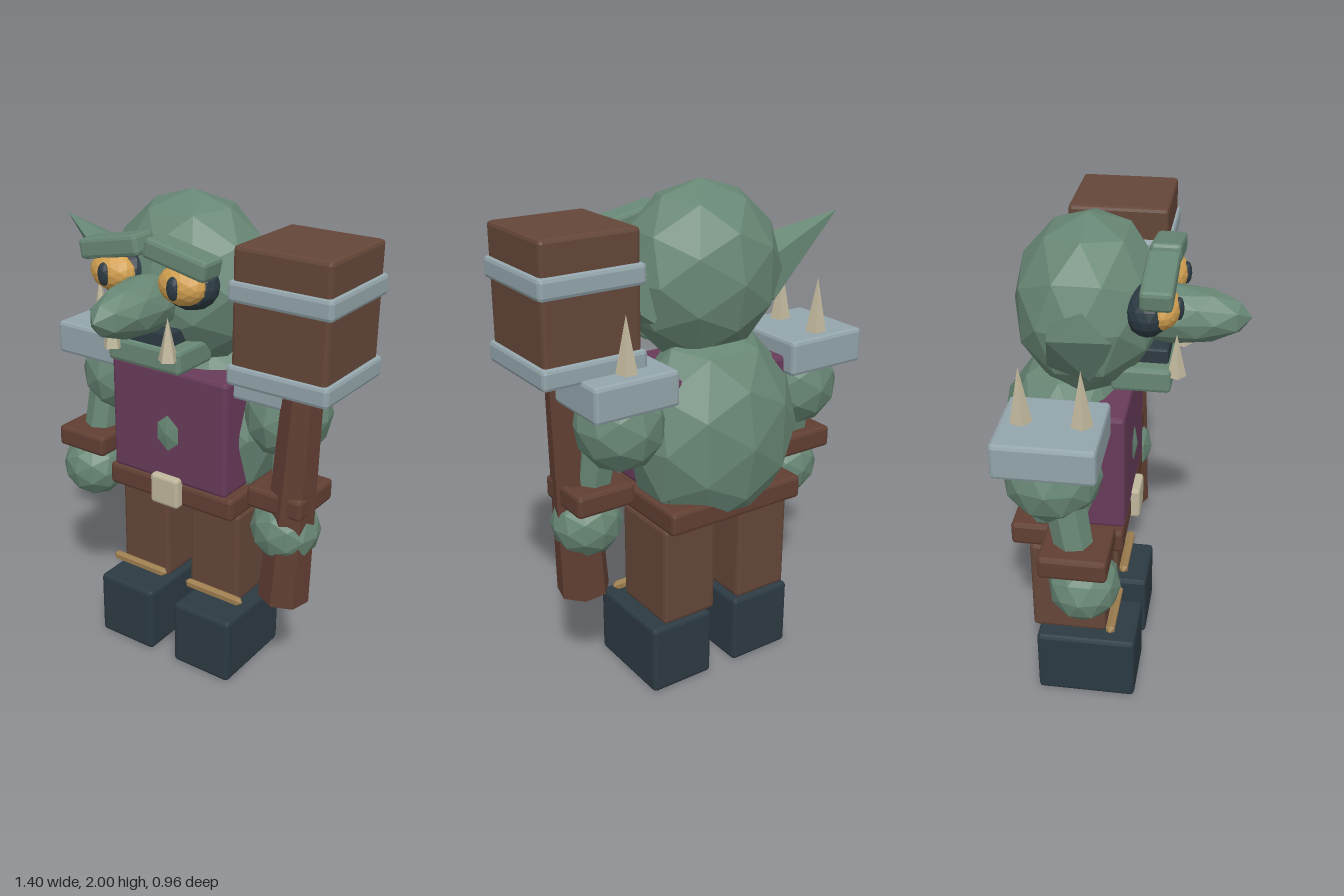
import * as THREE from 'three';
import { RoundedBoxGeometry } from 'three/addons/geometries/RoundedBoxGeometry.js';

const mat = (name, color) => {
  const m = new THREE.MeshStandardMaterial({ color, flatShading: true });
  m.name = name;
  return m;
};

export function createModel() {
  const skin = mat('green skin', 0x688775);
  const wood = mat('brown wood', 0x644638);
  const leather = mat('red brown leather', 0x613f33);
  const cloth = mat('purple cloth', 0x683b5a);
  const dark = mat('dark navy', 0x2c3a42);
  const steel = mat('pale steel', 0x93a5ab);
  const bone = mat('bone', 0xbfb69b);
  const amber = mat('amber', 0xd2a050);
  const gold = mat('dull gold', 0x9c7d4e);

  const model = new THREE.Group();
  model.name = 'goblin';
  // The body is centred slightly right of the origin to balance the hammer
  const body = new THREE.Group();
  body.name = 'body';
  body.position.x = -0.05;
  model.add(body);

  const add = (parent, name, geometry, material, x, y, z) => {
    const mesh = new THREE.Mesh(geometry, material);
    mesh.name = name;
    mesh.position.set(x, y, z);
    parent.add(mesh);
    return mesh;
  };
  // Box with chamfered edges
  const box = (parent, name, material, [w, h, d], [x, y, z], bevel = 0.015) =>
    add(parent, name, new RoundedBoxGeometry(w, h, d, 1, bevel), material, x, y, z);
  // Faceted ellipsoid
  const ball = (parent, name, material, [rx, ry, rz], [x, y, z], detail = 1) =>
    add(parent, name, new THREE.IcosahedronGeometry(1, detail).scale(rx, ry, rz), material, x, y, z);
  // Tapered limb between two points
  const limb = (parent, name, material, from, to, r0, r1, sides) => {
    const a = new THREE.Vector3(...from), b = new THREE.Vector3(...to);
    const dir = b.clone().sub(a);
    const mid = a.clone().add(b).multiplyScalar(0.5);
    const mesh = add(parent, name, new THREE.CylinderGeometry(r1, r0, dir.length(), sides), material, mid.x, mid.y, mid.z);
    mesh.quaternion.setFromUnitVectors(new THREE.Vector3(0, 1, 0), dir.normalize());
    return mesh;
  };
  const spike = (parent, name, r, h, x, y, z) =>
    add(parent, name, new THREE.ConeGeometry(r, h, 5), bone, x, y + h / 2, z);

  // Torso, vest and belt
  ball(body, 'torso', skin, [0.36, 0.415, 0.272], [0, 1.055, -0.205]);
  box(body, 'vest', cloth, [0.555, 0.485, 0.365], [0, 1.083, -0.13]);
  box(body, 'belt', leather, [0.615, 0.095, 0.44], [0, 0.79, -0.17]);
  box(body, 'beltBuckle', bone, [0.135, 0.13, 0.05], [0, 0.805, 0.06], 0.012);

  // Head
  ball(body, 'head', skin, [0.325, 0.34, 0.28], [0, 1.66, -0.115]);
  ball(body, 'nose', skin, [0.11, 0.11, 0.28], [0, 1.63, 0.2]);
  box(body, 'mouth', dark, [0.22, 0.07, 0.2], [0, 1.5, 0.09], 0.01);
  box(body, 'lowerJaw', skin, [0.335, 0.095, 0.22], [0, 1.43, 0.095]);

  for (const s of [-1, 1]) {
    const side = s > 0 ? 'left' : 'right';

    // Eye, brow, tusk and ear
    ball(body, side + 'EyeSocket', dark, [0.118, 0.095, 0.085], [s * 0.158, 1.715, 0.12], 2);
    ball(body, side + 'Eye', amber, [0.1, 0.075, 0.07], [s * 0.158, 1.722, 0.165], 2);
    ball(body, side + 'Pupil', dark, [0.026, 0.045, 0.02], [s * 0.158, 1.723, 0.226]);
    const brow = box(body, side + 'Brow', skin, [0.275, 0.078, 0.115], [s * 0.15, 1.82, 0.158]);
    brow.rotation.z = -s * 0.2;
    spike(body, side + 'Tusk', 0.038, 0.165, s * 0.13, 1.445, 0.22);
    limb(body, side + 'Ear', skin, [s * 0.24, 1.605, -0.115], [s * 0.65, 1.817, -0.14], 0.14, 0, 5);

    // Arm
    ball(body, side + 'UpperArm', skin, [0.175, 0.19, 0.185], [s * 0.41, 1.17, -0.19]);
    limb(body, side + 'Forearm', skin, [s * 0.49, 0.78, -0.085], [s * 0.455, 1.22, -0.16], 0.07, 0.08, 7);
    box(body, side + 'Cuff', leather, [0.245, 0.09, 0.255], [s * 0.485, 0.877, -0.095]);
    ball(body, side + 'Hand', skin, [0.143, 0.14, 0.137], [s * 0.49, 0.735, -0.068]);

    // Shoulder pad with two spikes
    box(body, side + 'ShoulderPad', steel, [0.35, 0.138, 0.37], [s * 0.435, 1.323, -0.183]);
    for (const z of [-0.29, -0.075]) {
      spike(body, side + 'ShoulderSpike', 0.042, 0.215, s * 0.435, 1.39, z);
    }

    // Leg, strap and boot
    box(body, side + 'Leg', wood, [0.24, 0.415, 0.3], [s * 0.178, 0.528, -0.172]);
    const strap = add(body, side + 'LegStrap', new THREE.CapsuleGeometry(0.02, 0.25, 1, 6), gold, s * 0.195, 0.352, 0);
    strap.rotation.z = Math.PI / 2;
    box(body, side + 'Boot', dark, [0.278, 0.29, 0.405], [s * 0.198, 0.15, -0.102]);
  }

  // War hammer held upright in the left hand
  const hammer = new THREE.Group();
  hammer.name = 'hammer';
  model.add(hammer);
  limb(hammer, 'hammerHandle', leather, [0.455, 0.43, -0.05], [0.505, 1.45, -0.05], 0.105, 0.075, 7);
  box(hammer, 'hammerHead', wood, [0.39, 0.505, 0.39], [0.492, 1.638, -0.06]);
  for (const y of [1.415, 1.727]) {
    box(hammer, 'hammerBand', steel, [0.42, 0.08, 0.42], [0.492, y, -0.062]);
  }

  return model;
}
